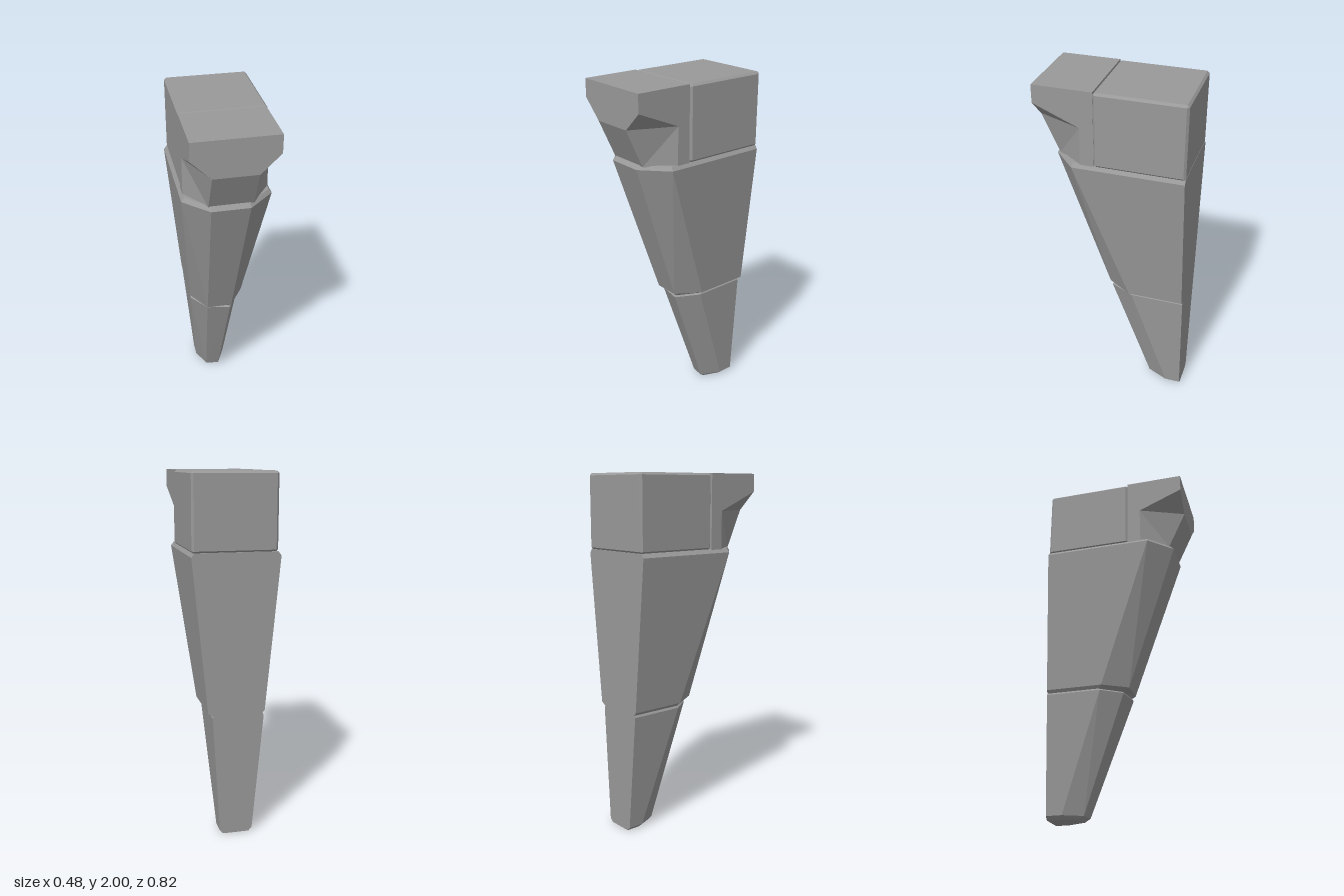
import * as THREE from 'three';
import { ConvexGeometry } from 'three/addons/geometries/ConvexGeometry.js';

const material = new THREE.MeshStandardMaterial({ color: 0x999999, flatShading: true });

// Skins a stack of six-sided rings (bottom to top) and caps both ends.
function loft(name, rings) {
  const n = rings[0].length;
  const index = [];
  for (let r = 0; r < rings.length - 1; r++) {
    for (let i = 0; i < n; i++) {
      const j = (i + 1) % n;
      const a = r * n + i, b = r * n + j, c = a + n, d = b + n;
      // mirrored diagonals keep both halves alike
      if (i < n / 2) index.push(a, b, c, b, d, c);
      else index.push(a, b, d, a, d, c);
    }
  }
  const top = (rings.length - 1) * n;
  for (let i = 1; i < n - 1; i++) {
    index.push(0, i + 1, i);
    index.push(top, top + i, top + i + 1);
  }
  const geometry = new THREE.BufferGeometry();
  geometry.setAttribute('position', new THREE.Float32BufferAttribute(rings.flat(2), 3));
  geometry.setIndex(index);
  const flat = geometry.toNonIndexed();
  flat.computeVertexNormals();
  const mesh = new THREE.Mesh(flat, material);
  mesh.name = name;
  return mesh;
}

// Flat back, straight sides, chamfered front corners; skew sets the right front corner back.
function ring({ y, right, left, frontRight, frontLeft, side, front, back = -0.41, skew = 0 }) {
  return [
    [left, y, back], [right, y, back],
    [right, y, side], [frontRight, y, front - skew],
    [frontLeft, y, front], [left, y, side],
  ];
}

// Symmetric ring for the front of the head.
const headRing = (y, half, frontHalf, side, front) => ring({
  y, right: -half, left: half, frontRight: -frontHalf, frontLeft: frontHalf, side, front, back: 0.082,
});

// Box with every edge cut at 45 degrees.
function chamferedBox(width, height, depth, cut) {
  const points = [];
  for (const sx of [-0.5, 0.5]) for (const sy of [-0.5, 0.5]) for (const sz of [-0.5, 0.5]) {
    for (let axis = 0; axis < 3; axis++) {
      const [x, y, z] = [width, height, depth].map((size, k) => (k === axis ? size : size - 2 * cut));
      points.push(new THREE.Vector3(sx * x, sy * y, sz * z));
    }
  }
  return new ConvexGeometry(points);
}

export function createModel() {
  const group = new THREE.Group();
  group.name = 'taperedLeg';

  // Lower segment with a bevelled tip
  group.add(loft('lowerSegment', [
    ring({ y: 0, right: -0.075, left: 0.07, frontRight: -0.04, frontLeft: 0.03, side: -0.33, front: -0.23, skew: 0.01 }),
    ring({ y: 0.02, right: -0.095, left: 0.09, frontRight: -0.045, frontLeft: 0.035, side: -0.32, front: -0.2, skew: 0.012 }),
    ring({ y: 0.69, right: -0.158, left: 0.13, frontRight: -0.075, frontLeft: 0.06, side: -0.1, front: 0.04, skew: 0.025 }),
    ring({ y: 0.702, right: -0.15, left: 0.12, frontRight: -0.07, frontLeft: 0.055, side: -0.11, front: 0.03, skew: 0.02 }),
  ]));

  // Upper segment, widening to a bevelled rim
  group.add(loft('upperSegment', [
    ring({ y: 0.698, right: -0.148, left: 0.125, frontRight: -0.07, frontLeft: 0.055, side: -0.11, front: 0.028, skew: 0.015 }),
    ring({ y: 0.718, right: -0.163, left: 0.155, frontRight: -0.08, frontLeft: 0.065, side: -0.09, front: 0.05 }),
    ring({ y: 1.565, right: -0.243, left: 0.241, frontRight: -0.11, frontLeft: 0.1, side: 0.205, front: 0.335 }),
    ring({ y: 1.587, right: -0.225, left: 0.225, frontRight: -0.105, frontLeft: 0.095, side: 0.2, front: 0.318 }),
  ]));

  // Head front: neck, corner undercuts and overhanging brow
  group.add(loft('headFront', [
    headRing(1.58, 0.228, 0.12, 0.16, 0.31),
    headRing(1.795, 0.228, 0.12, 0.157, 0.41),
    headRing(1.9, 0.228, 0.12, 0.41, 0.41),
    headRing(2, 0.228, 0.12, 0.41, 0.41),
  ]));

  // Head block with chamfered edges
  const block = new THREE.Mesh(chamferedBox(0.464, 0.416, 0.494, 0.012), material);
  block.name = 'headBlock';
  block.position.set(0.006, 1.792, -0.165);
  group.add(block);

  return group;
}
